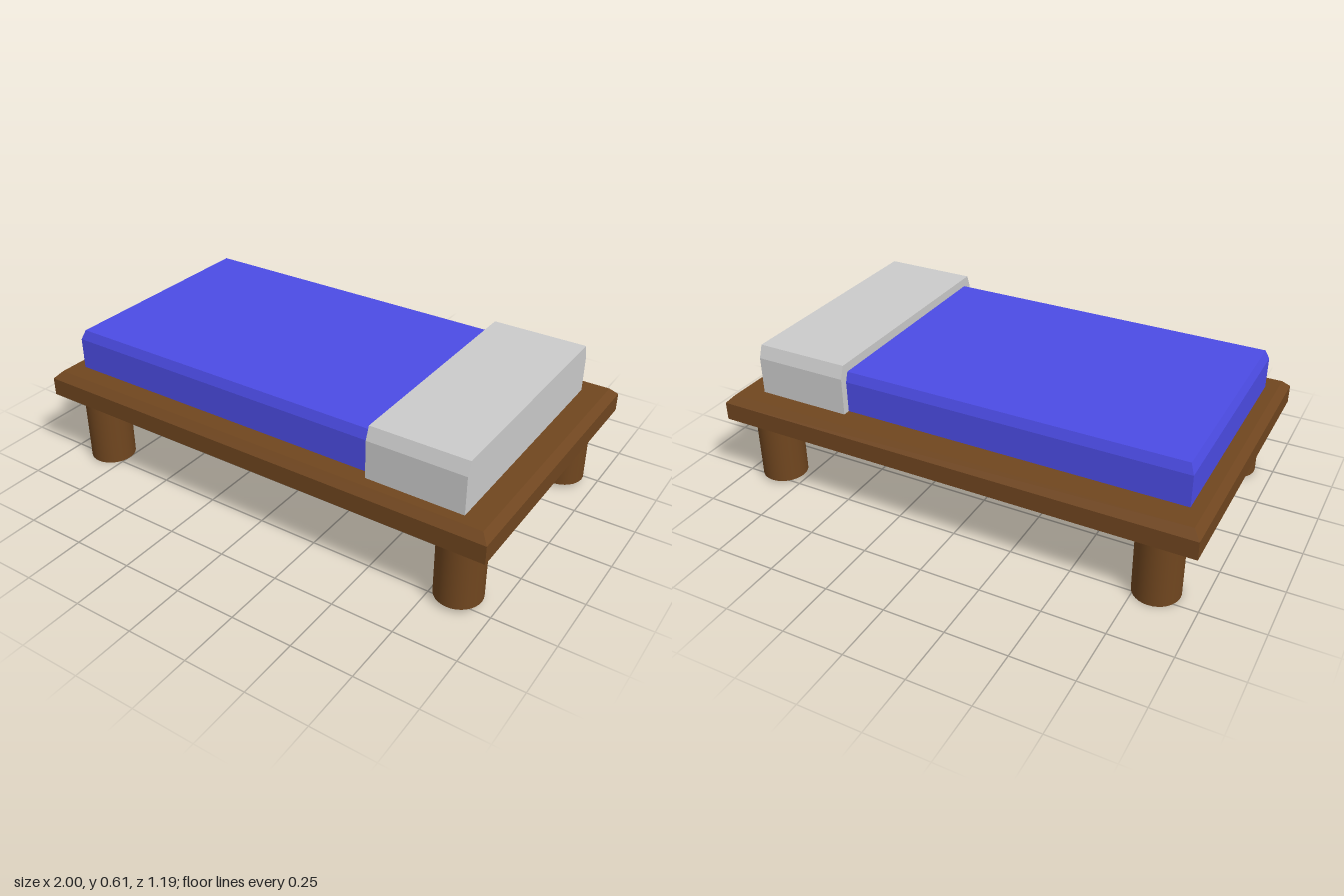
import * as THREE from 'three';

const wood = new THREE.MeshStandardMaterial({ color: 0x70461f, flatShading: true });
const legWood = new THREE.MeshStandardMaterial({ color: 0x70461f });
const blue = new THREE.MeshStandardMaterial({ color: 0x4c4ce5, flatShading: true });
const grey = new THREE.MeshStandardMaterial({ color: 0xcccccc, flatShading: true });

// Box whose top edges are bevelled from the shoulder height upwards.
// inset gives how far each top edge moves in: left, right (x) and both z sides.
function bevelledSlab(name, material, [x0, x1], [y0, shoulder, y1], [z0, z1], inset) {
  const geometry = new THREE.BoxGeometry(1, 2, 1, 1, 2, 1);
  const p = geometry.attributes.position;
  for (let i = 0; i < p.count; i++) {
    const level = Math.round(p.getY(i)) + 1;
    const top = level === 2 ? 1 : 0;
    p.setXYZ(i,
      p.getX(i) < 0 ? x0 + top * inset.minX : x1 - top * inset.maxX,
      [y0, shoulder, y1][level],
      p.getZ(i) < 0 ? z0 + top * inset.z : z1 - top * inset.z);
  }
  geometry.computeVertexNormals();
  const mesh = new THREE.Mesh(geometry, material);
  mesh.name = name;
  return mesh;
}

export function createModel() {
  const bed = new THREE.Group();
  bed.name = 'bed';

  // Wooden platform, bevelled all round
  bed.add(bevelledSlab('frame', wood, [-1, 1], [0.3, 0.375, 0.405], [-0.593, 0.593],
    { minX: 0.03, maxX: 0.03, z: 0.03 }));

  // Mattress, bevelled at the foot and along the sides
  bed.add(bevelledSlab('mattress', blue, [-0.92, 0.49], [0.405, 0.535, 0.575], [-0.46, 0.485],
    { minX: 0.016, maxX: 0, z: 0.014 }));

  // Pillow, bevelled at its two ends only
  bed.add(bevelledSlab('pillow', grey, [0.487, 0.88], [0.405, 0.56, 0.612], [-0.49, 0.52],
    { minX: 0, maxX: 0, z: 0.019 }));

  // Round legs; the two at the head are slightly shorter
  const legs = [
    ['frontFootLeg', -0.835, 0.463, 0.004],
    ['backFootLeg', -0.825, -0.453, 0],
    ['frontHeadLeg', 0.853, 0.463, 0.019],
    ['backHeadLeg', 0.853, -0.453, 0.015],
  ];
  for (const [name, x, z, bottom] of legs) {
    const height = 0.31 - bottom;
    const leg = new THREE.Mesh(new THREE.CylinderGeometry(0.093, 0.093, height, 32), legWood);
    leg.position.set(x, bottom + height / 2, z);
    leg.name = name;
    bed.add(leg);
  }
  return bed;
}
